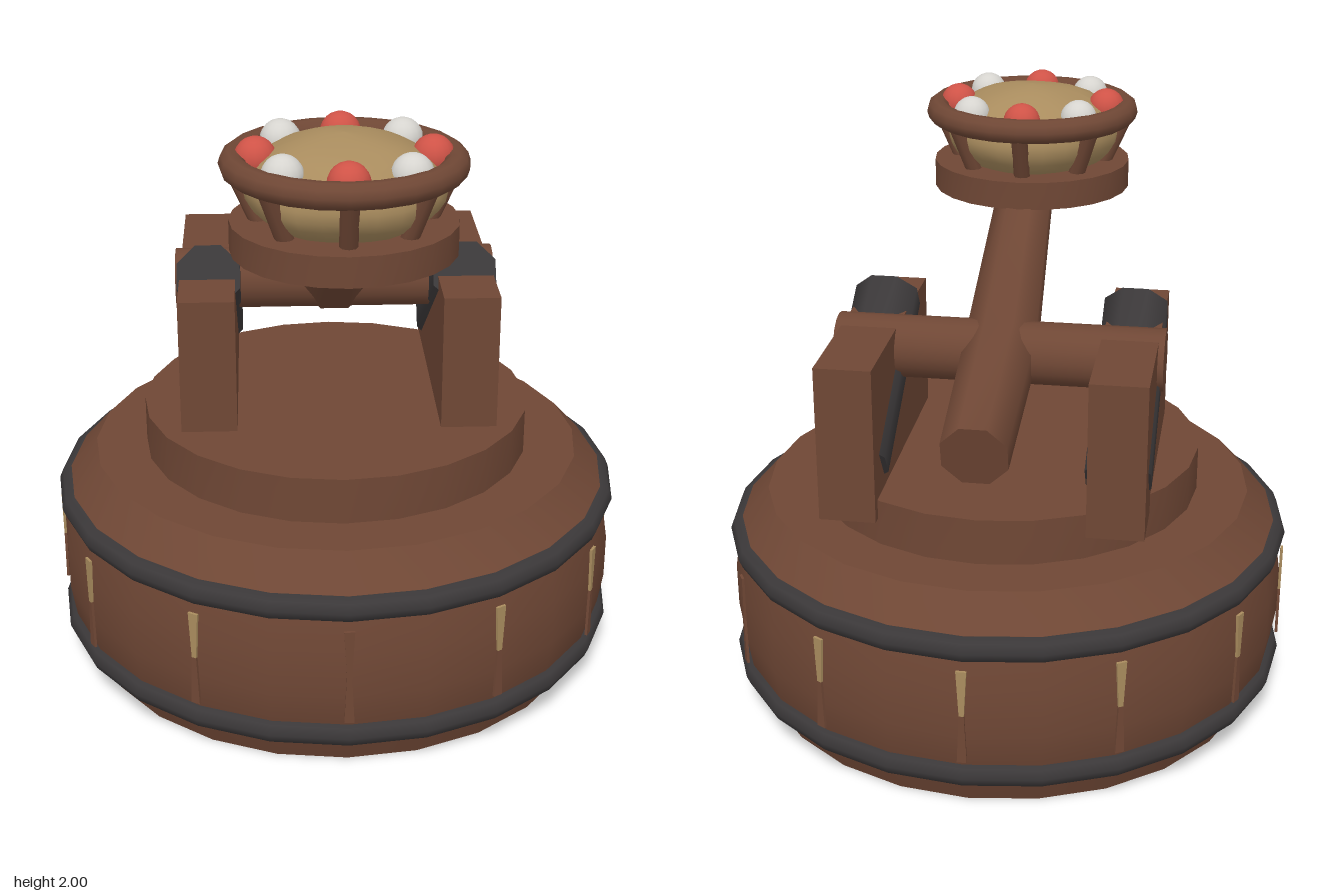
import * as THREE from 'three';
import { toCreasedNormals } from 'three/addons/utils/BufferGeometryUtils.js';

const paint = (name, color) => {
  const m = new THREE.MeshStandardMaterial({ color });
  m.name = name;
  return m;
};

export function createModel() {
  const wood = paint('brown wood', 0x6f4735);
  const iron = paint('dark iron', 0x3b3839);
  const sand = paint('tan', 0xa98c5e);
  const red = paint('red', 0xcf5347);
  const white = paint('off white', 0xd6d4cf);
  const root = new THREE.Group();
  root.name = 'catapult';

  const add = (name, geometry, material, x = 0, y = 0, z = 0, parent = root) => {
    const mesh = new THREE.Mesh(geometry, material);
    mesh.name = name;
    mesh.position.set(x, y, z);
    parent.add(mesh);
    return mesh;
  };
  const crease = (g, angle = 0.6) => toCreasedNormals(g, angle);

  // Barrel base with two iron hoops
  const profile = [[0, 0], [0.875, 0], [0.915, 0.1], [0.945, 0.18], [0.962, 0.29], [0.962, 0.44],
    [0.945, 0.55], [0.93, 0.635], [0.835, 0.74], [0, 0.74]].map(p => new THREE.Vector2(...p));
  add('barrelBase', crease(new THREE.LatheGeometry(profile, 24), 0.5), wood);
  for (const y of [0.137, 0.592]) {
    add('hoop', new THREE.TorusGeometry(0.929, 0.043, 8, 24).rotateX(Math.PI / 2), iron, 0, y, 0);
  }

  // Hourglass cracks around the barrel, most with a pale upper half
  const half = (wide, pinch, y0, y1) => {
    const s = new THREE.Shape();
    s.moveTo(-pinch, y0);
    s.lineTo(pinch, y0);
    s.lineTo(wide, y1);
    s.lineTo(-wide, y1);
    s.closePath();
    return new THREE.ExtrudeGeometry(s, { depth: 0.009, bevelEnabled: false });
  };
  const crackTop = half(0.017, 0.008, 0.37, 0.53);
  const crackBottom = half(0.008, 0.016, 0.37, 0.2).scale(1, 1, 1);
  const lower = new THREE.Shape([[-0.016, 0.2], [0.016, 0.2], [0.008, 0.37], [-0.008, 0.37]]
    .map(p => new THREE.Vector2(...p)));
  crackBottom.copy(new THREE.ExtrudeGeometry(lower, { depth: 0.009, bevelEnabled: false }));
  for (let i = 0; i < 12; i++) {
    const crack = new THREE.Group();
    crack.name = 'crack';
    crack.rotation.y = i * Math.PI / 6;
    root.add(crack);
    add('crackTop', crackTop, i === 0 || i === 4 ? wood : sand, 0, 0, 0.961, crack);
    add('crackBottom', crackBottom, wood, 0, 0, 0.961, crack);
  }

  // Turntable
  add('turntable', crease(new THREE.CylinderGeometry(0.66, 0.66, 0.155, 24)), wood, 0, 0.8175, 0);

  // Side blocks, each with a slanted eight-sided iron rod through it
  const rod = crease(new THREE.CylinderGeometry(0.114, 0.114, 0.68, 8).rotateY(Math.PI / 8).rotateX(0.98), 0.9);
  for (const side of [-1, 1]) {
    add('sideBlock', new THREE.BoxGeometry(0.186, 0.525, 0.89), wood, side * 0.432, 1.0925, -0.155);
    add('ironRod', rod, iron, side * 0.428, 1.176, -0.207);
  }

  // Axle
  add('axle', crease(new THREE.CylinderGeometry(0.104, 0.104, 1.09, 16).rotateZ(Math.PI / 2)), wood, 0, 1.272, -0.158);

  // Bent, tapered throwing arm: an eight-sided cylinder laid along three stations
  const stations = [
    { z: -0.695, y: 1.132, tilt: 0.245, r: 0.114 },
    { z: -0.15, y: 1.28, tilt: 0.4, r: 0.127 },
    { z: 0.47, y: 1.675, tilt: 0.55, r: 0.098 },
  ];
  const arm = new THREE.CylinderGeometry(1, 1, 1, 8, 2).rotateY(Math.PI / 8);
  const pos = arm.attributes.position;
  for (let i = 0; i < pos.count; i++) {
    const s = stations[Math.round((pos.getY(i) + 0.5) * 2)];
    const up = -pos.getZ(i) * s.r;
    pos.setXYZ(i, pos.getX(i) * s.r, s.y + up * Math.cos(s.tilt), s.z - up * Math.sin(s.tilt));
  }
  add('throwingArm', crease(arm, 0.9), wood);

  // Basket: floor disc, slanted posts and rim
  const basket = new THREE.Group();
  basket.name = 'basket';
  basket.position.z = 0.58;
  root.add(basket);
  add('basketFloor', crease(new THREE.CylinderGeometry(0.347, 0.347, 0.095, 24)), wood, 0, 1.6875, 0, basket);
  add('basketRim', new THREE.TorusGeometry(0.333, 0.041, 10, 24).rotateX(Math.PI / 2), wood, 0, 1.91, 0, basket);
  const post = new THREE.CylinderGeometry(0.028, 0.028, 0.2, 8).rotateX(0.42);
  const ball = new THREE.SphereGeometry(0.064, 16, 12);
  for (let i = 0; i < 8; i++) {
    const a = i * Math.PI / 4;
    const x = Math.sin(a), z = Math.cos(a);
    add('basketPost', post, wood, x * 0.292, 1.81, z * 0.292, basket).rotation.y = a;
    add('ball', ball, i % 2 ? white : red, x * 0.263, 1.925, z * 0.263, basket);
  }

  // Lumpy load inside the basket
  const load = new THREE.SphereGeometry(1, 24, 16);
  const lp = load.attributes.position;
  for (let i = 0; i < lp.count; i++) {
    const x = lp.getX(i), y = lp.getY(i), z = lp.getZ(i);
    const k = 1 + 0.025 * Math.sin(5 * x + 2 * y) * Math.cos(6 * z + 1);
    lp.setXYZ(i, x * k * 0.305, y * k * 0.16, z * k * 0.305);
  }
  load.computeVertexNormals();
  add('load', load, sand, 0, 1.838, 0, basket);

  return root;
}
